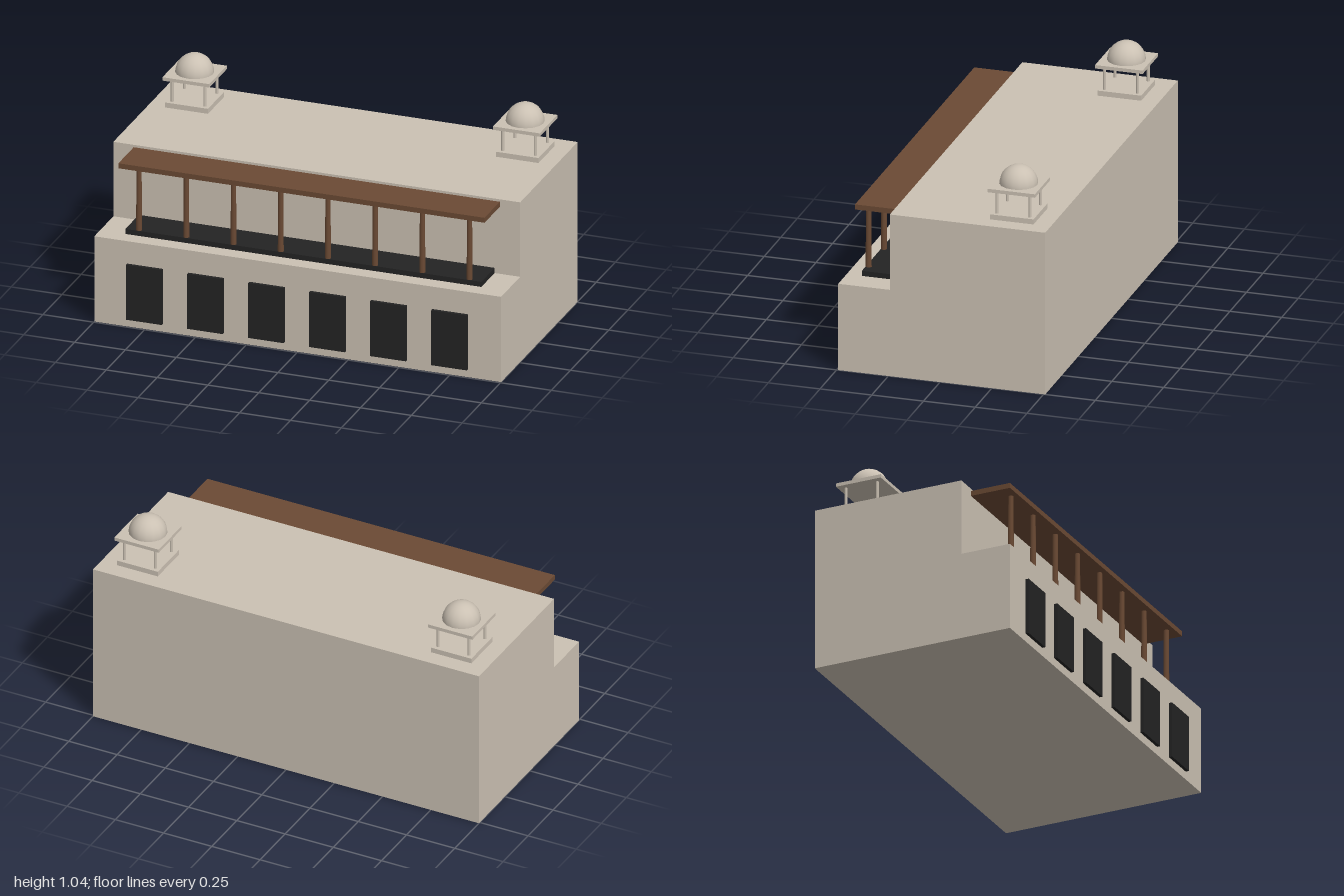
import * as THREE from 'three';

export function createModel() {
  const model = new THREE.Group();
  model.name = 'building';

  const material = (name, color) => {
    const m = new THREE.MeshStandardMaterial({ color });
    m.name = name;
    return m;
  };
  const stone = material('sandstone', 0xcbc1b3);
  const wood = material('brown wood', 0x6b4a34);
  const dark = material('dark charcoal', 0x232323);

  const add = (parent, name, geometry, mat, x, y, z) => {
    const mesh = new THREE.Mesh(geometry, mat);
    mesh.name = name;
    mesh.position.set(x, y, z);
    parent.add(mesh);
    return mesh;
  };
  // Box given by its extents along each axis
  const box = (parent, name, mat, [x0, x1], [y0, y1], [z0, z1]) =>
    add(parent, name, new THREE.BoxGeometry(x1 - x0, y1 - y0, z1 - z0), mat,
      (x0 + x1) / 2, (y0 + y1) / 2, (z0 + z1) / 2);

  // Stepped main block: side profile extruded across the width
  const back = -0.508, step = 0.243, front = 0.492;
  const profile = new THREE.Shape([
    [-front, 0], [-back, 0], [-back, 0.8], [-step, 0.8], [-step, 0.427], [-front, 0.427],
  ].map(([u, v]) => new THREE.Vector2(u, v)));
  const block = new THREE.ExtrudeGeometry(profile, { depth: 2, bevelEnabled: false });
  block.rotateY(Math.PI / 2); // profile u becomes -z, depth becomes x
  add(model, 'mainBlock', block, stone, -1, 0, 0);

  // Row of dark doorways along the ground floor
  for (let i = 0; i < 6; i++) {
    const x = -0.75 + i * 0.3;
    box(model, 'doorway', dark, [x - 0.0875, x + 0.0875], [0.04, 0.315], [front, 0.508]);
  }

  // Veranda: floor, posts and roof
  const veranda = new THREE.Group();
  veranda.name = 'veranda';
  model.add(veranda);
  box(veranda, 'verandaFloor', dark, [-0.875, 0.875], [0.428, 0.453], [step, 0.418]);
  box(veranda, 'verandaRoof', wood, [-0.9, 0.9], [0.763, 0.788], [step, 0.443]);
  const postGeometry = new THREE.CylinderGeometry(0.0125, 0.015, 0.31, 8);
  for (let i = 0; i < 8; i++) {
    add(veranda, 'verandaPost', postGeometry, wood, -0.8125 + i * 1.625 / 7, 0.608, 0.405);
  }

  // Domed pavilions on the rear roof corners
  const columnGeometry = new THREE.CylinderGeometry(0.0075, 0.0075, 0.112, 8);
  const domeGeometry = new THREE.SphereGeometry(0.09, 16, 8, 0, Math.PI * 2, 0, Math.PI / 2);
  for (const side of [-1, 1]) {
    const pavilion = new THREE.Group();
    pavilion.name = side > 0 ? 'leftPavilion' : 'rightPavilion';
    pavilion.position.set(side * 0.8125, 0.8, -0.32);
    model.add(pavilion);
    box(pavilion, 'pavilionBase', stone, [-0.105, 0.105], [0, 0.025], [-0.105, 0.105]);
    box(pavilion, 'pavilionSlab', stone, [-0.115, 0.115], [0.137, 0.154], [-0.115, 0.115]);
    for (const x of [-0.08, 0.08]) {
      for (const z of [-0.08, 0.08]) {
        add(pavilion, 'pavilionColumn', columnGeometry, stone, x, 0.081, z);
      }
    }
    add(pavilion, 'pavilionDome', domeGeometry, stone, 0, 0.154, 0);
  }

  return model;
}
